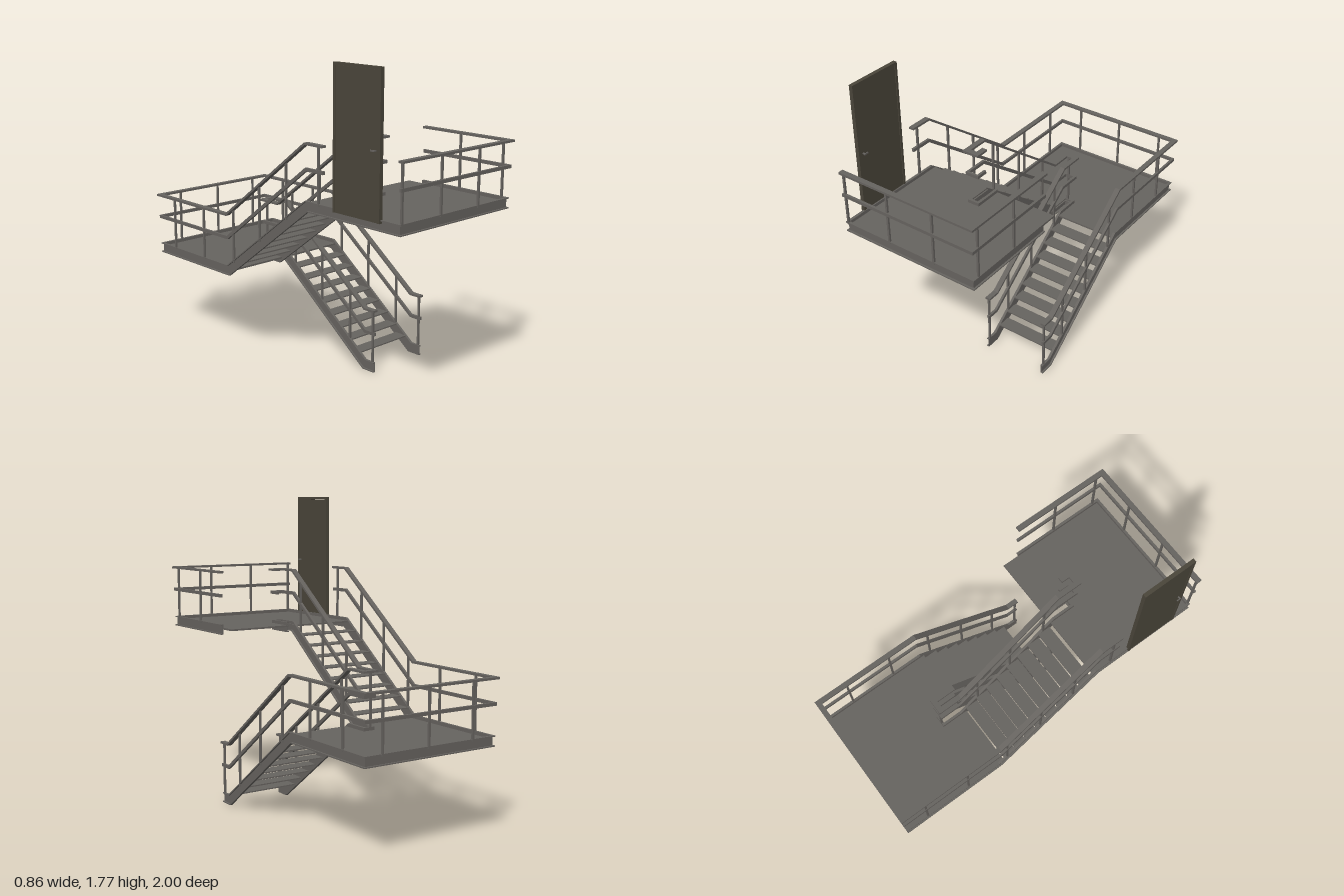
import * as THREE from 'three';

const steel = new THREE.MeshStandardMaterial({ color: 0x66635f });
steel.name = 'painted steel';
const wood = new THREE.MeshStandardMaterial({ color: 0x4a453a });
wood.name = 'dark door';

const V = (x, y, z) => new THREE.Vector3(x, y, z);
const UP = V(0, 1, 0);

// Sweep a counter-clockwise section [side, up] along a polyline with mitred corners
function sweep(section, path) {
  const dirs = path.slice(1).map((p, i) => p.clone().sub(path[i]).normalize());
  const rings = path.map((p, i) => {
    const d = dirs[Math.min(i, dirs.length - 1)];
    const n = i > 0 && i < dirs.length ? dirs[i - 1].clone().add(d).normalize() : d;
    const side = d.clone().cross(UP).normalize();
    const up = side.clone().cross(d);
    return section.map(([s, u]) => {
      const o = side.clone().multiplyScalar(s).addScaledVector(up, u);
      return o.addScaledVector(d, -o.dot(n) / d.dot(n)).add(p);
    });
  });
  const pos = [];
  const tri = (...pts) => pts.forEach((p) => pos.push(p.x, p.y, p.z));
  for (let k = 0; k < dirs.length; k++) {
    const a = rings[k], b = rings[k + 1];
    a.forEach((_, i) => {
      const j = (i + 1) % a.length;
      tri(a[i], b[i], b[j]);
      tri(a[i], b[j], a[j]);
    });
  }
  const flat = section.map(([s, u]) => new THREE.Vector2(s, u));
  const first = rings[0], last = rings[rings.length - 1];
  THREE.ShapeUtils.triangulateShape(flat, []).forEach(([i, j, k]) => {
    tri(first[i], first[j], first[k]);
    tri(last[i], last[k], last[j]);
  });
  const geo = new THREE.BufferGeometry();
  geo.setAttribute('position', new THREE.Float32BufferAttribute(pos, 3));
  geo.computeVertexNormals();
  return geo;
}

const rect = (w, h) => [[-w / 2, -h / 2], [w / 2, -h / 2], [w / 2, h / 2], [-w / 2, h / 2]];
const channel = [[-0.0075, -0.029], [0.0075, -0.029], [0.0075, -0.023], [-0.0025, -0.023],
  [-0.0025, 0.023], [0.0075, 0.023], [0.0075, 0.029], [-0.0075, 0.029]];
const channelFlipped = channel.map(([s, u]) => [-s, u]).reverse();
const handrail = rect(0.03, 0.012);
const midrail = rect(0.014, 0.018);

const RISE = 0.492, BEND = 0.33, FOOT = 0.405;

// Up the lower flight, around the lower landing, up the upper flight
const climb = (x, y, zTurn, zEnd) => [
  V(x, y, FOOT), V(x, y, BEND), V(x, y + RISE, -BEND), V(x, y + RISE, -zTurn),
  V(-x, y + RISE, -zTurn), V(-x, y + RISE, -BEND), V(-x, y + 2 * RISE, BEND), V(-x, y + 2 * RISE, zEnd),
];

export function createModel() {
  const model = new THREE.Group();
  const add = (name, geo, mat = steel, parent = model) => {
    const m = new THREE.Mesh(geo, mat);
    m.name = name;
    parent.add(m);
    return m;
  };
  const box = (name, w, h, d, x, y, z, mat, parent) =>
    add(name, new THREE.BoxGeometry(w, h, d), mat, parent).position.set(x, y, z);

  // Channel stringers, continuing as the landing edge beams
  const yC = 0.03, topC = yC + 2 * RISE;
  add('outerStringer', sweep(channel, [...climb(0.4075, yC, 0.98, 0.98),
    V(0.4075, topC, 0.98), V(0.4075, topC, 0.4)]));
  add('innerStringer', sweep(channelFlipped, [...climb(0.0275, yC, 0.457, 0.457),
    V(0.0275, topC, 0.457), V(0.0275, topC, 0.3)]));

  // Handrails and midrails
  for (const [name, section, y] of [['Handrail', handrail, 0.358], ['Midrail', midrail, 0.224]]) {
    const top = y + 2 * RISE;
    add('outer' + name, sweep(section, climb(0.41, y, 0.985, 0.46)));
    add('inner' + name, sweep(section, [...climb(0.033, y, 0.463, 0.463),
      V(0.033, top, 0.463), V(0.033, top, 0.4)]));
    add('upperGuard' + name, sweep(section,
      [V(-0.415, top, 0.985), V(0.41, top, 0.985), V(0.41, top, 0.4)]));
  }

  // Posts
  const posts = new THREE.Group();
  posts.name = 'railingPosts';
  model.add(posts);
  const post = (x, z, base) => box('post', 0.011, 0.31, 0.011, x, base + 0.173, z, steel, posts);
  const slope = (z) => yC + RISE * THREE.MathUtils.clamp((BEND - z) / (2 * BEND), 0, 1);
  const slopeUp = (z) => yC + RISE + RISE * THREE.MathUtils.clamp((z + BEND) / (2 * BEND), 0, 1);
  for (const z of [0.39, 0.21, -0.02, -0.25]) {
    post(0.408, z, slope(z));
    post(0.03, z, slope(z));
  }
  for (const z of [-0.515, -0.8]) post(0.408, z, slope(z));
  for (const x of [0.305, 0.02, -0.265]) post(x, -0.982, yC + RISE);
  for (const z of [-0.84, -0.555, -0.28, -0.05, 0.17, 0.42]) post(-0.408, z, slopeUp(z));
  post(-0.01, -0.46, yC + RISE);
  for (const z of [-0.21, 0.02, 0.25]) post(-0.03, z, slopeUp(z));
  for (const x of [-0.4, -0.12, 0.165]) post(x, 0.982, topC);
  for (const z of [0.943, 0.66]) post(0.408, z, topC);

  // Treads of both flights
  for (let k = 0; k < 8; k++) {
    const z = 0.3 - 0.0735 * k - 0.04;
    box('lowerTread', 0.368, 0.007, 0.08, 0.217, 0.09 + 0.055 * k, z);
    box('upperTread', 0.368, 0.007, 0.08, -0.217, 0.585 + 0.055 * k, -z);
  }

  // Landing decks, notched at the stairwell
  const outline = new THREE.Shape([[-0.402, 0.3], [-0.022, 0.3], [-0.022, 0.452], [0.022, 0.452],
    [0.022, 0.3], [0.402, 0.3], [0.402, 0.976], [-0.402, 0.976]].map(([x, z]) => new THREE.Vector2(x, z)));
  const deck = new THREE.ExtrudeGeometry(outline, { depth: 0.01, bevelEnabled: false });
  deck.rotateX(Math.PI / 2);
  add('upperLandingDeck', deck).position.y = 1.025;
  const lower = add('lowerLandingDeck', deck);
  lower.rotation.y = Math.PI;
  lower.position.y = 0.532;

  // Door with frame and handle
  const door = new THREE.Group();
  door.name = 'door';
  model.add(door);
  box('doorPanel', 0.014, 0.73, 0.3, -0.414, 1.39, 0.7, wood, door);
  for (const z of [0.547, 0.853]) box('doorJamb', 0.022, 0.745, 0.014, -0.414, 1.3975, z, wood, door);
  box('doorHead', 0.022, 0.014, 0.292, -0.414, 1.763, 0.7, wood, door);
  for (const s of [-1, 1]) {
    const x = -0.414 + s * 0.014;
    box('handleStem', 0.016, 0.007, 0.007, x, 1.375, 0.828, steel, door);
    box('handleLever', 0.005, 0.008, 0.026, x + s * 0.008, 1.375, 0.82, steel, door);
  }
  return model;
}
